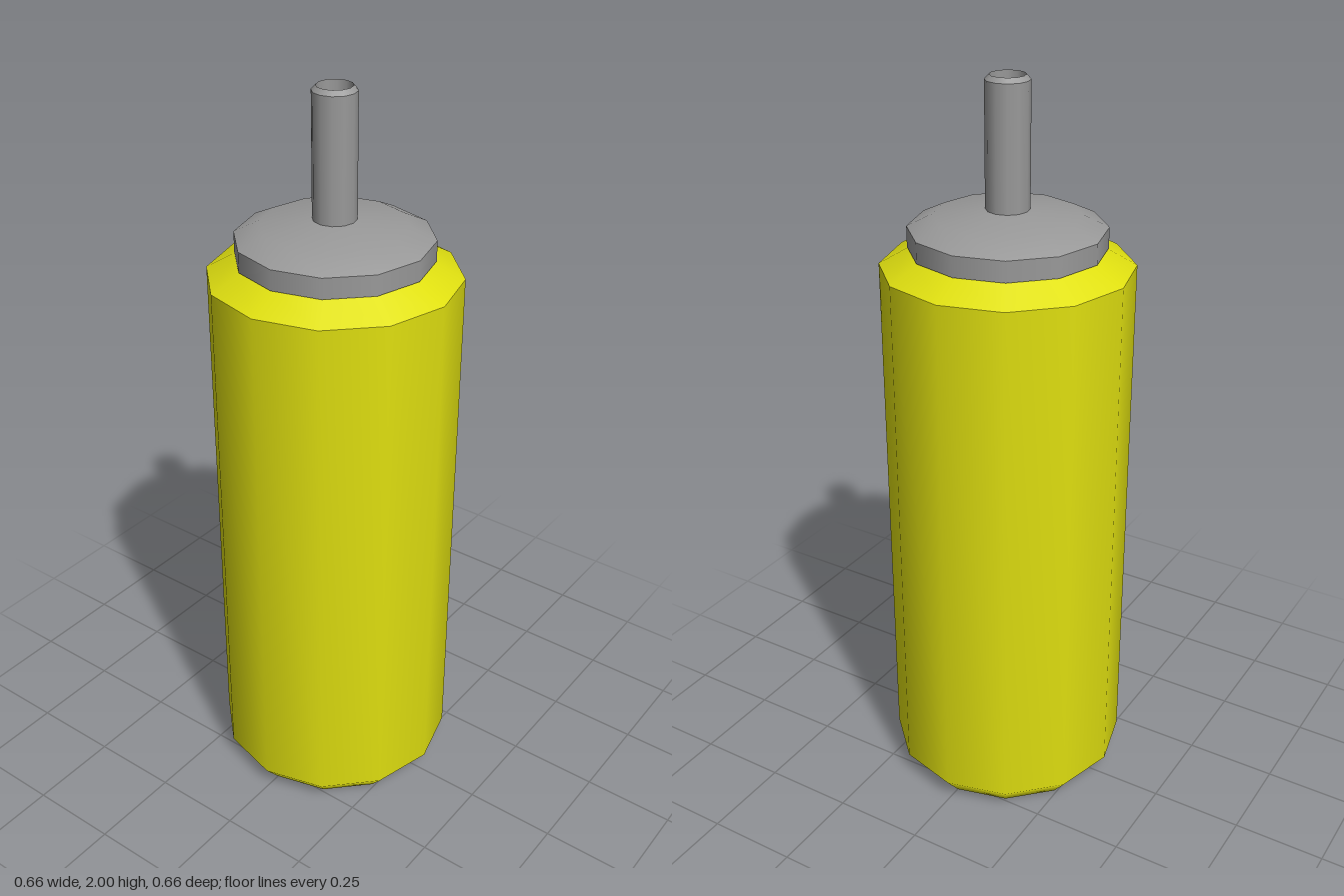
import * as THREE from 'three';

const SIDES = 12;

export function createModel() {
  const yellow = new THREE.MeshStandardMaterial({ color: 0xe0e010 });
  yellow.name = 'yellow';
  const grey = new THREE.MeshStandardMaterial({ color: 0x999999 });
  grey.name = 'grey';

  const model = new THREE.Group();
  model.name = 'bottle';

  // Each profile is one smooth strip; separate strips meet in a sharp edge.
  function part(name, material, ...profiles) {
    const group = new THREE.Group();
    group.name = name;
    for (const profile of profiles) {
      const points = profile.map(([r, y]) => new THREE.Vector2(r, y));
      const mesh = new THREE.Mesh(new THREE.LatheGeometry(points, SIDES), material);
      mesh.name = name + 'Surface';
      group.add(mesh);
    }
    model.add(group);
  }

  // Bottle with rounded base and sloped shoulder
  part('body', yellow,
    [[0, 0], [0.28, 0], [0.33, 0.06], [0.33, 1.52]],
    [[0.33, 1.52], [0.25, 1.565]]);

  // Collar with a low domed top
  part('cap', grey,
    [[0.24, 1.56], [0.256, 1.565]],
    [[0.256, 1.565], [0.256, 1.62]],
    [[0.256, 1.62], [0.19, 1.652], [0.05, 1.668], [0, 1.668]]);

  // Spout with bevelled rim and shallow recess
  part('nozzle', grey,
    [[0.057, 1.65], [0.057, 1.988]],
    [[0.057, 1.988], [0.046, 2]],
    [[0.046, 2], [0.046, 1.97]],
    [[0.046, 1.97], [0, 1.97]]);

  return model;
}
